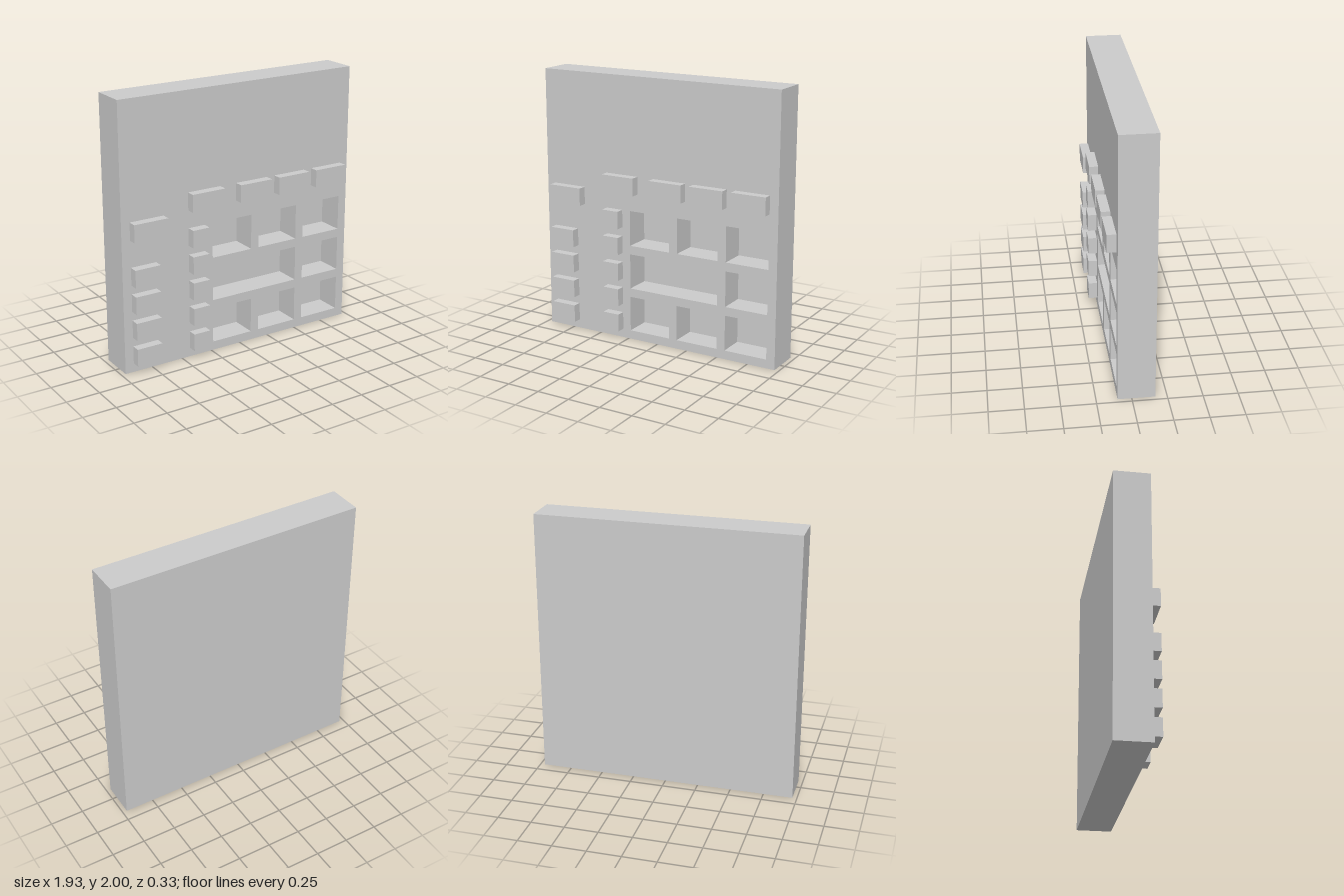
import * as THREE from 'three';

const U = 1 / 15; // layout module
const BACK = -2.5 * U, FLOOR = -1.5 * U, FACE = 1.5 * U;
const material = new THREE.MeshStandardMaterial({ color: 0xcccccc, flatShading: true });

// Rectangle outline given in modules
function rectPoints(x0, x1, y0, y1) {
  return [[x0, y0], [x1, y0], [x1, y1], [x0, y1]].map(([x, y]) => new THREE.Vector2(x * U, y * U));
}

export function createModel() {
  const group = new THREE.Group();
  const add = (name, geometry) => {
    const mesh = new THREE.Mesh(geometry, material);
    mesh.name = name;
    group.add(mesh);
  };

  // Panel: one closed solid with recesses, [x0, x1, y0, y1]
  const columns = [[-3.5, 1.5], [2.5, 7.5], [8.5, 13.5]];
  const recesses = [
    ...columns.map((c) => [...c, 1, 5]),
    [-3.5, 7.5, 6, 10], [8.5, 13.5, 6, 10],
    ...columns.map((c) => [...c, 11, 15]),
  ];
  const outline = rectPoints(-14.5, 14.5, 0, 30);
  const holes = recesses.map((r) => rectPoints(...r));

  // Flat polygon facing +z (or -z when flipped)
  const positions = [];
  const quad = (a, b, c, d) => [a, b, c, a, c, d].forEach((p) => positions.push(...p));
  const at = (p, z) => [p.x, p.y, z];
  const walls = (points, z0, z1) => points.forEach((p, i) => {
    const q = points[(i + 1) % points.length];
    quad(at(p, z0), at(q, z0), at(q, z1), at(p, z1));
  });

  // Outer sides and back
  walls(outline, BACK, FACE);
  quad(...[...outline].reverse().map((p) => at(p, BACK)));
  // Recess walls face inwards; floors face the front
  holes.forEach((h) => {
    walls([...h].reverse(), FLOOR, FACE);
    quad(...h.map((p) => at(p, FLOOR)));
  });
  // Front face with openings
  const shape = new THREE.Shape(outline);
  shape.holes = holes.map((h) => new THREE.Path(h));
  const face = new THREE.ShapeGeometry(shape).toNonIndexed().getAttribute('position');
  for (let i = 0; i < face.count; i++) positions.push(face.getX(i), face.getY(i), FACE);

  const panel = new THREE.BufferGeometry();
  panel.setAttribute('position', new THREE.Float32BufferAttribute(positions, 3));
  panel.computeVertexNormals();
  add('recessedPanel', panel);

  // Raised blocks, two modules high and one module proud of the face
  const block = (name, x, y, width) => {
    const geometry = new THREE.BoxGeometry(width * U, 2 * U, U);
    geometry.translate((x + width / 2) * U, (y + 1) * U, FACE + U / 2);
    add(name, geometry);
  };
  [-6.5, -0.5, 4.5, 9.5].forEach((x) => block('upperBlock', x, 17, 4));
  block('sideHeaderBlock', -13.5, 15, 4);
  for (let i = 0; i < 4; i++) block('sideBlock', -13.5, 1 + 3 * i, 3);
  for (let i = 0; i < 5; i++) block('smallBlock', -6.5, 1 + 3 * i, 2);

  return group;
}
